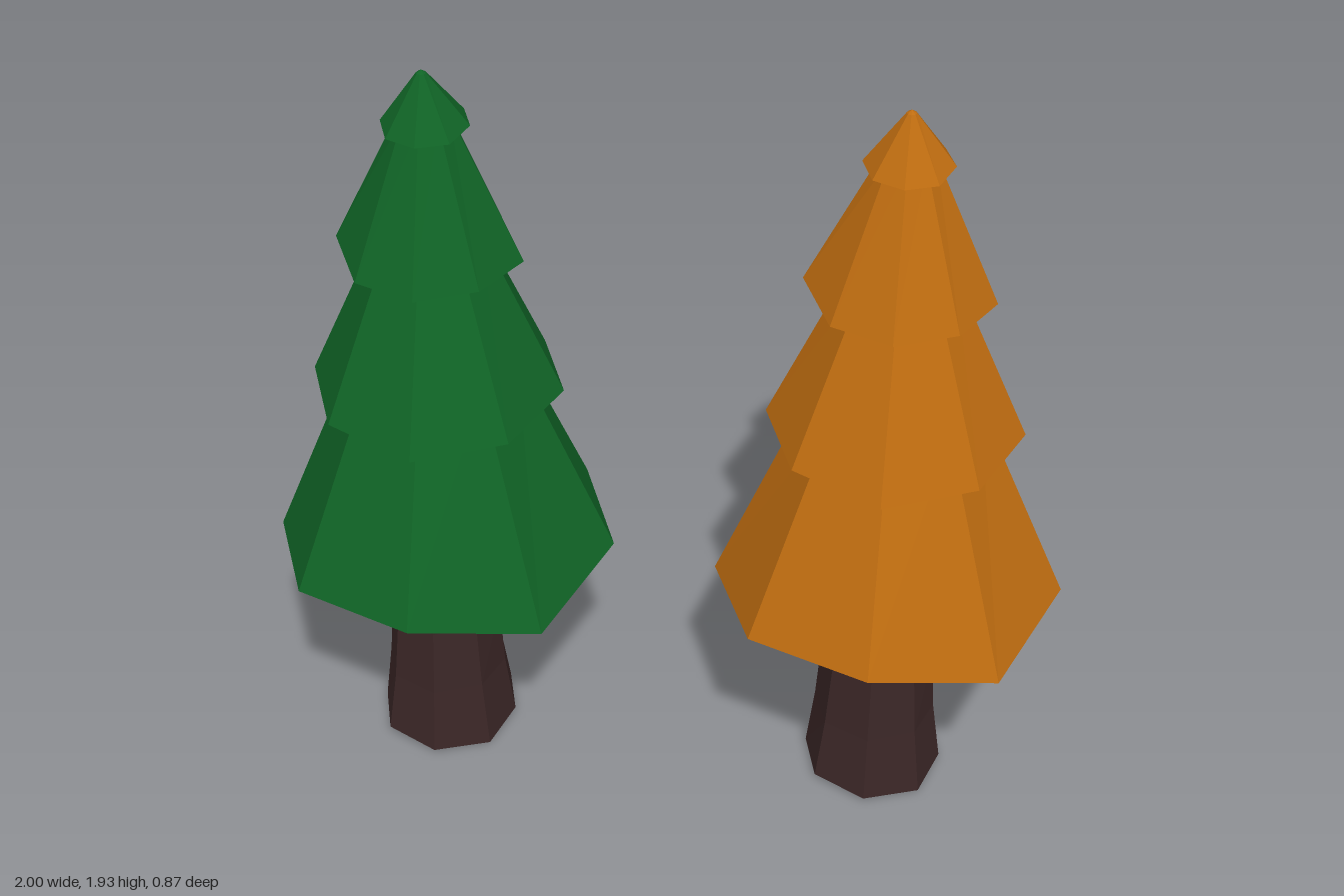
import * as THREE from 'three';

const SIDES = 8;
const at = (v, k) => (Array.isArray(v) ? v[k] : v);

// Joins octagonal rings into a faceted skin. A ring is { r, y, x, z };
// r and y may be one number or one per corner, counted from +x towards +z.
function skin(rings) {
  const pos = [], index = [];
  for (const { r, y, x = 0, z = 0 } of rings) {
    for (let k = 0; k < SIDES; k++) {
      const a = (k / SIDES) * Math.PI * 2;
      pos.push(x + Math.cos(a) * at(r, k), at(y, k), z + Math.sin(a) * at(r, k));
    }
  }
  for (let i = 0; i < rings.length - 1; i++) {
    for (let k = 0; k < SIDES; k++) {
      const a = i * SIDES + k, b = i * SIDES + ((k + 1) % SIDES);
      index.push(a, a + SIDES, b, b, a + SIDES, b + SIDES);
    }
  }
  const g = new THREE.BufferGeometry();
  g.setAttribute('position', new THREE.Float32BufferAttribute(pos, 3));
  g.setIndex(index);
  const flat = g.toNonIndexed();
  flat.computeVertexNormals();
  return flat;
}

// Skirts of foliage: uneven rim heights, rim radius, top ring, hollow inside
const TIERS = [
  { name: 'bottomTier', r: 0.435, rim: [0.6, 0.535, 0.6, 0.59, 0.56, 0.565, 0.575, 0.595],
    top: { r: 0.2, y: 1.14 }, inner: { r: 0.15, y: 1.1 }, lip: 0.025 },
  { name: 'middleTier', r: 0.315, rim: [1.06, 1.045, 1.03, 1.05, 1.06, 1.05, 1.035, 1.05],
    top: { r: 0.12, y: 1.5 }, inner: { r: 0.2, y: 1.13 }, lip: 0.02 },
  { name: 'upperTier', r: [0.225, 0.21, 0.205, 0.215, 0.235, 0.215, 0.205, 0.21],
    rim: [1.425, 1.425, 1.415, 1.42, 1.45, 1.43, 1.455, 1.43],
    top: { r: 0.06, y: 1.81 }, inner: { r: 0.125, y: 1.49 }, lip: 0.018 },
  { name: 'treeTip', r: 0.108, rim: [1.785, 1.775, 1.775, 1.775, 1.78, 1.78, 1.79, 1.785],
    top: { r: 0.012, y: 1.92, z: 0.01 }, inner: { r: 0.06, y: 1.81 }, lip: 0.012, peak: 1.928 },
];

function tierGeometry({ r, rim, top, inner, lip, peak }) {
  const inR = rim.map((_, k) => at(r, k) - lip);
  const rings = [inner, { r: inR, y: rim.map((y) => y + 0.004) }, { r, y: rim }, top];
  if (peak) rings.push({ r: 0, y: peak, z: 0.01 });
  return skin(rings);
}

// Open trunk that flares at the foot and leans slightly
function trunkGeometry() {
  return skin([
    { r: [0.175, 0.19, 0.2, 0.19, 0.175, 0.19, 0.2, 0.19],
      y: [0.012, 0, 0.01, 0.015, 0.015, 0.015, 0.01, 0.012], x: -0.013 },
    { r: [0.152, 0.163, 0.17, 0.163, 0.155, 0.163, 0.17, 0.163], y: 0.18, x: -0.013 },
    { r: [0.142, 0.146, 0.15, 0.146, 0.143, 0.146, 0.15, 0.146], y: 0.36, x: -0.012 },
    { r: 0.14, y: 0.6, x: 0.004, z: 0.005 },
    { r: 0.13, y: 1.0 },
  ]);
}

export function createModel() {
  const model = new THREE.Group();
  model.name = 'treePair';
  const material = (name, color, side = THREE.FrontSide) => {
    const m = new THREE.MeshStandardMaterial({ color, flatShading: true, side });
    m.name = name;
    return m;
  };
  const bark = material('darkBark', 0x3a2626, THREE.DoubleSide);
  const green = material('pineGreen', 0x106426);
  const orange = material('autumnOrange', 0xbe6c10);

  const addTree = (name, x, foliage) => {
    const tree = new THREE.Group();
    tree.name = name;
    const add = (part, geometry, mat) => {
      const mesh = new THREE.Mesh(geometry, mat);
      mesh.name = part;
      tree.add(mesh);
    };
    add('trunk', trunkGeometry(), bark);
    for (const tier of TIERS) add(tier.name, tierGeometry(tier), foliage);
    tree.position.x = x;
    model.add(tree);
  };
  addTree('greenTree', -0.565, green);
  addTree('orangeTree', 0.565, orange);
  return model;
}
